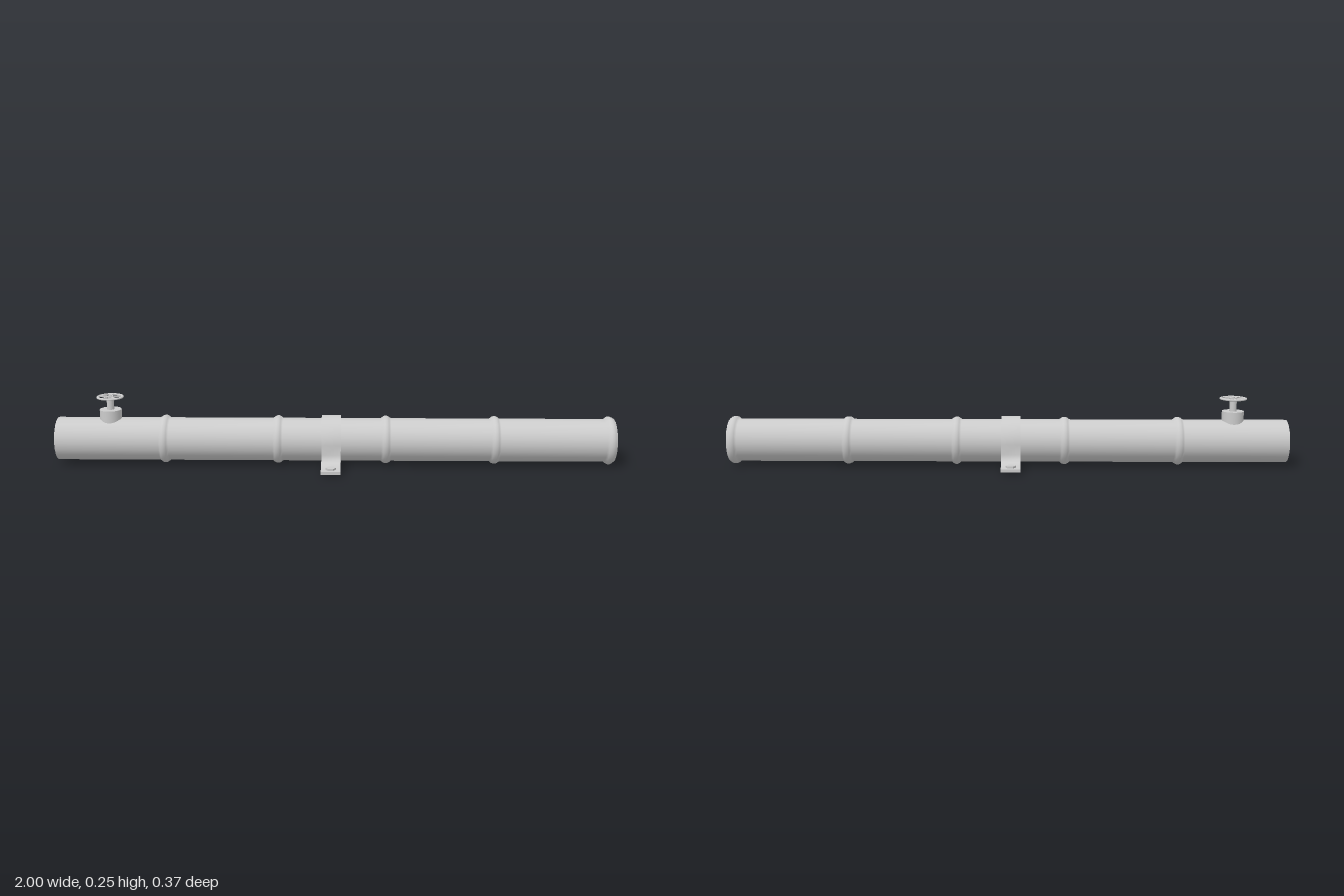
import * as THREE from 'three';
import { toCreasedNormals } from 'three/addons/utils/BufferGeometryUtils.js';

const AXIS_Y = 0.086; // height of the pipe's centre line
const PIPE_R = 0.077;
const BEAD_R = 0.086;

export function createModel() {
  const model = new THREE.Group();
  const material = new THREE.MeshStandardMaterial({ color: 0xcccccc });
  const thin = new THREE.MeshStandardMaterial({ color: 0xcccccc, side: THREE.DoubleSide });

  function add(parent, name, geometry, x = 0, y = 0, z = 0, mat = material) {
    const mesh = new THREE.Mesh(geometry, mat);
    mesh.name = name;
    mesh.position.set(x, y, z);
    parent.add(mesh);
    return mesh;
  }

  // Open pipe with raised beads, turned along x
  const profile = [new THREE.Vector2(PIPE_R, -1)];
  for (const x of [-0.612, -0.205, 0.182, 0.572, 0.982]) {
    for (const [dx, t] of [[-0.018, 0], [-0.011, 0.65], [-0.004, 1], [0.004, 1], [0.011, 0.65], [0.018, 0]]) {
      profile.push(new THREE.Vector2(PIPE_R + (BEAD_R - PIPE_R) * t, x + dx));
    }
  }
  const pipe = add(model, 'pipe', new THREE.LatheGeometry(profile, 20), 0, AXIS_Y, 0, thin);
  pipe.rotation.z = -Math.PI / 2;

  // Strap: arch over the pipe, flaring into two flat feet
  const outer = [[0.184, 0.019], [0.118, 0.019], [0.1, 0.026], [0.09, 0.036], [0.086, 0.05]];
  const inner = [[0.075, 0.05], [0.075, 0.035], [0.082, 0.022], [0.098, 0.014], [0.118, 0.009], [0.184, 0.009]];
  const arc = (r) => Array.from({ length: 21 }, (_, i) => {
    const a = (i / 20) * Math.PI;
    return [r * Math.cos(a), AXIS_Y + r * Math.sin(a)];
  });
  const mirror = (points) => points.map(([u, y]) => [-u, y]).reverse();
  const outline = [
    ...outer, ...arc(0.0875), ...mirror(outer),
    ...mirror(inner), ...arc(0.079).reverse(), ...inner,
  ].map(([u, y]) => new THREE.Vector2(u, y));
  const strapGeometry = new THREE.ExtrudeGeometry(new THREE.Shape(outline), { depth: 0.069, bevelEnabled: false });
  strapGeometry.rotateY(Math.PI / 2);
  add(model, 'strap', toCreasedNormals(strapGeometry, 0.6), -0.048, 0, 0);

  // Hexagonal bolt heads on the feet
  for (const side of [-1, 1]) {
    const bolt = toCreasedNormals(new THREE.CylinderGeometry(0.018, 0.018, 0.009, 6), 0.5);
    bolt.rotateY(Math.PI / 6);
    add(model, 'bolt', bolt, -0.0135, 0.0215, side * 0.155);
  }

  // Valve: body sunk into the pipe, stem and hand wheel
  const valve = new THREE.Group();
  valve.name = 'valve';
  valve.position.x = -0.808;
  model.add(valve);
  add(valve, 'valveBody', new THREE.CylinderGeometry(0.039, 0.039, 0.108, 24), 0, 0.141, 0);
  add(valve, 'valveStem', new THREE.CylinderGeometry(0.013, 0.013, 0.046, 16), 0, 0.216, 0);

  const wheel = new THREE.Group();
  wheel.name = 'handWheel';
  wheel.position.y = 0.24;
  valve.add(wheel);
  const rim = new THREE.TorusGeometry(0.0435, 0.0055, 8, 28);
  rim.rotateX(Math.PI / 2);
  rim.scale(1, 0.65, 1);
  add(wheel, 'wheelRim', rim);
  add(wheel, 'wheelHub', new THREE.CylinderGeometry(0.013, 0.013, 0.007, 16));
  add(wheel, 'wheelNut', new THREE.CylinderGeometry(0.006, 0.006, 0.007, 8), 0, 0.0035, 0);
  for (let i = 0; i < 5; i++) {
    const spoke = new THREE.BoxGeometry(0.036, 0.005, 0.007);
    spoke.translate(0.025, 0, 0);
    add(wheel, 'wheelSpoke', spoke).rotation.y = (i / 5) * Math.PI * 2 + Math.PI / 2;
  }

  return model;
}
